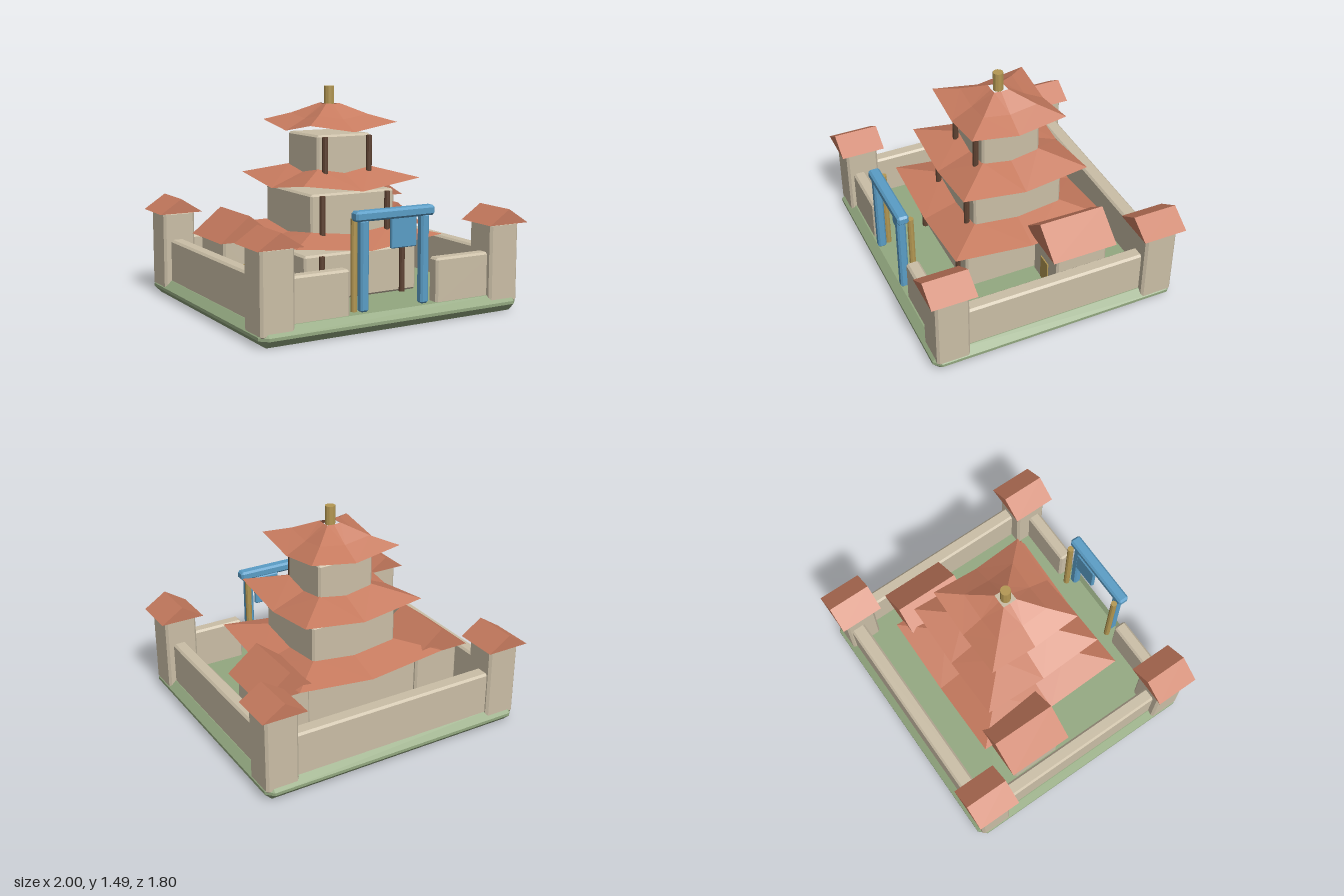
import * as THREE from 'three';
import { ConvexGeometry } from 'three/addons/geometries/ConvexGeometry.js';

const mat = (name, color, side = THREE.FrontSide) => {
  const m = new THREE.MeshStandardMaterial({ color, side });
  m.name = name;
  return m;
};

// Box with 45 degree chamfers on every edge, given by its min and max corners
function chamferBox(min, max, c) {
  const pts = [];
  for (const sx of [0, 1]) for (const sy of [0, 1]) for (const sz of [0, 1]) {
    const s = [sx, sy, sz];
    for (let flat = 0; flat < 3; flat++) {
      const p = s.map((v, i) => (v ? max[i] : min[i]) + (i === flat ? 0 : v ? -c : c));
      pts.push(new THREE.Vector3(...p));
    }
  }
  return new ConvexGeometry(pts);
}

// Triangular prism roof with its ridge along z
function gable(halfWidth, height, depth) {
  const shape = new THREE.Shape([
    new THREE.Vector2(-halfWidth, 0), new THREE.Vector2(halfWidth, 0), new THREE.Vector2(0, height)]);
  return new THREE.ExtrudeGeometry(shape, { depth, bevelEnabled: false }).translate(0, 0, -depth / 2);
}

// Square roof sheet; each ring is [half size, corner height, mid-side height]
function sweptRoof(rings) {
  const dirs = [[1, 1], [0, 1], [-1, 1], [-1, 0], [-1, -1], [0, -1], [1, -1], [1, 0]];
  const point = ([half, corner, mid], k) => {
    const [x, z] = dirs[k % 8];
    return [x * half, k % 2 ? mid : corner, z * half];
  };
  const pos = [];
  for (let r = 0; r < rings.length - 1; r++) for (let k = 0; k < 8; k++) {
    const a = point(rings[r], k), a2 = point(rings[r], k + 1);
    const b = point(rings[r + 1], k), b2 = point(rings[r + 1], k + 1);
    if (k % 2) pos.push(...a, ...b, ...b2, ...a, ...b2, ...a2);
    else pos.push(...a, ...b, ...a2, ...b, ...b2, ...a2);
  }
  const g = new THREE.BufferGeometry();
  g.setAttribute('position', new THREE.Float32BufferAttribute(pos, 3));
  g.computeVertexNormals();
  return g;
}

export function createModel() {
  const group = new THREE.Group();
  const stone = mat('stone', 0xcabea6), grass = mat('grass', 0x93a880);
  const tile = mat('roofTile', 0xc67a5e, THREE.DoubleSide), blue = mat('bluePaint', 0x5a9dc6);
  const gold = mat('gold', 0xb39752), wood = mat('darkWood', 0x5e4232);

  const add = (name, geometry, material, x = 0, y = 0, z = 0) => {
    const mesh = new THREE.Mesh(geometry, material);
    mesh.name = name;
    mesh.position.set(x, y, z);
    group.add(mesh);
  };
  const block = (name, min, max, c, material) => add(name, chamferBox(min, max, c), material);
  const pole = (name, x, z, y0, y1, r, material) => {
    const g = new THREE.CylinderGeometry(r, r, y1 - y0, 10).toNonIndexed();
    g.computeVertexNormals();
    add(name, g, material, x, (y0 + y1) / 2, z);
  };

  // Ground slab and back wall
  block('ground', [-0.965, 0, -0.88], [0.965, 0.12, 0.88], 0.05, grass);
  block('backWall', [-0.78, 0.1, -0.835], [0.78, 0.41, -0.73], 0.014, stone);

  for (const s of [-1, 1]) {
    const side = s > 0 ? 'left' : 'right';
    const span = (name, x0, x1, y0, y1, z0, z1, c, m) =>
      block(side + name, [Math.min(s * x0, s * x1), y0, z0], [Math.max(s * x0, s * x1), y1, z1], c, m);

    // Enclosing walls
    span('SideWall', 0.815, 0.91, 0.1, 0.41, -0.7, 0.7, 0.014, stone);
    span('FrontWall', 0.325, 0.78, 0.1, 0.41, 0.73, 0.82, 0.014, stone);

    // Corner towers
    for (const t of [-1, 1]) {
      const end = t > 0 ? 'Front' : 'Back', z = t * 0.745;
      span(end + 'Tower', 0.73, 0.96, 0.06, 0.605, z - 0.115, z + 0.115, 0.016, stone);
      add(side + end + 'TowerRoof', gable(0.155, 0.1, 0.31), tile, s * 0.845, 0.6, z);
    }

    // Side pavilion with a gold door
    span('Pavilion', 0.42, 0.76, 0.1, 0.475, -0.45, -0.08, 0.014, stone);
    add(side + 'PavilionRoof', gable(0.215, 0.17, 0.465), tile, s * 0.59, 0.47, -0.265);
    add(side + 'PavilionDoor', new THREE.BoxGeometry(0.1, 0.18, 0.009), gold, s * 0.585, 0.22, -0.076);

    // Gate posts
    span('GatePost', 0.195, 0.255, 0.13, 0.71, 0.775, 0.835, 0.012, blue);
    pole(side + 'GatePole', s * 0.255, 0.745, 0.11, 0.71, 0.022, gold);
  }

  // Gate beam and hanging board
  block('gateBeam', [-0.292, 0.7, 0.763], [0.292, 0.765, 0.842], 0.014, blue);
  block('gateBoard', [0, 0.5, 0.755], [0.19, 0.71, 0.785], 0.006, blue);

  // Pagoda: three storeys with front columns and upturned roofs
  const storeys = [
    { half: 0.43, y0: 0.12, y1: 0.43, colX: 0.31, colZ: 0.44,
      roof: [[0.555, 0.51, 0.447], [0.3, 0.563, 0.525]] },
    { half: 0.32, y0: 0.5, y1: 0.805, colX: 0.25, colZ: 0.345,
      roof: [[0.445, 0.885, 0.822], [0.2, 0.955, 0.92]] },
    { half: 0.207, y0: 0.9, y1: 1.177, colX: 0.17, colZ: 0.24,
      roof: [[0.333, 1.255, 1.2], [0.19, 1.305, 1.275], [0.05, 1.375, 1.37]] },
  ];
  storeys.forEach(({ half, y0, y1, colX, colZ, roof }, i) => {
    block('pagodaStorey' + (i + 1), [-half, y0, -half], [half, y1, half], 0.014, stone);
    for (const s of [-1, 1])
      pole('pagodaColumn' + (i + 1), s * colX, colZ, y0, y1 - 0.01, 0.02, wood);
    add('pagodaRoof' + (i + 1), sweptRoof(roof), tile);
  });
  pole('finial', 0, 0, 1.36, 1.49, 0.035, gold);

  return group;
}
